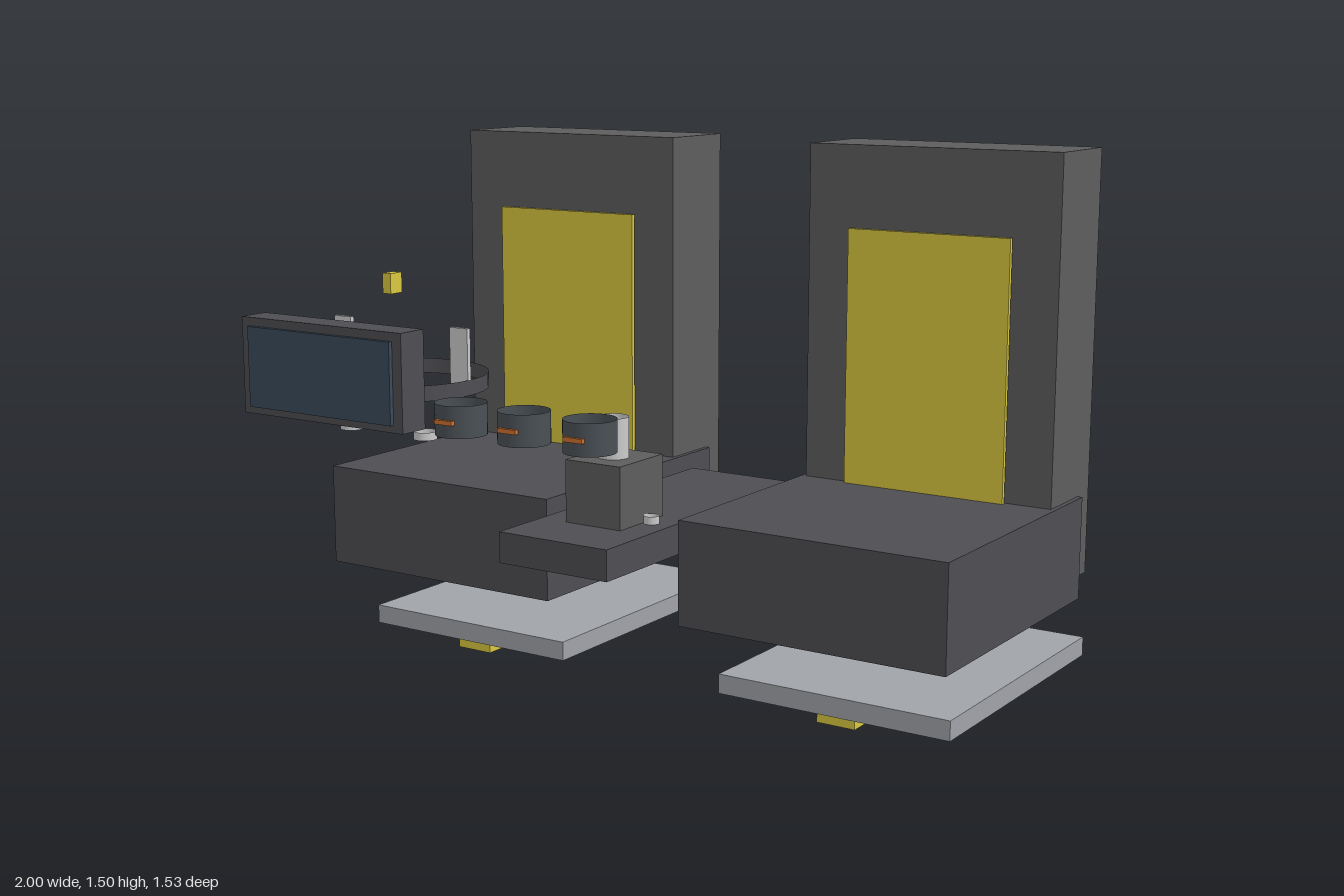
import * as THREE from 'three';

const mat = (color, side = THREE.FrontSide) => new THREE.MeshStandardMaterial({ color, side });

const DARK = 0x4e4d52, GREY = 0x5d5d5d, YELLOW = 0xd9c840, PLATE = 0xa0a3a8;
const STEEL = 0xc8c8c8, KNOB = 0x4a5056, GLASS = 0x3a4a5a, ORANGE = 0xd07030;

// Box given by its extents along each axis
function box(parent, name, color, [x0, x1], [y0, y1], [z0, z1]) {
  const mesh = new THREE.Mesh(new THREE.BoxGeometry(x1 - x0, y1 - y0, z1 - z0), mat(color));
  mesh.position.set((x0 + x1) / 2, (y0 + y1) / 2, (z0 + z1) / 2);
  mesh.name = name;
  parent.add(mesh);
}

// Open upright cylinder wall
function sleeve(parent, name, color, r, [y0, y1], x, z) {
  const geo = new THREE.CylinderGeometry(r, r, y1 - y0, 40, 1, true);
  const mesh = new THREE.Mesh(geo, mat(color, THREE.DoubleSide));
  mesh.position.set(x, (y0 + y1) / 2, z);
  mesh.name = name;
  parent.add(mesh);
}

function createSeat() {
  const seat = new THREE.Group();
  box(seat, 'seatCushion', DARK, [-0.392, 0.392], [0.25, 0.54], [-0.605, 0.235]);
  box(seat, 'seatBack', GREY, [-0.378, 0.378], [0.307, 1.495], [-0.68, -0.42]);
  box(seat, 'backPanel', YELLOW, [-0.244, 0.244], [0.54, 1.264], [-0.414, -0.401]);
  box(seat, 'floorPlate', PLATE, [-0.346, 0.346], [0.035, 0.09], [-0.767, 0.103]);
  box(seat, 'plateFoot', YELLOW, [-0.057, 0.057], [0, 0.035], [-0.014, 0.073]);
  return seat;
}

export function createModel() {
  const model = new THREE.Group();

  // Pair of seats
  for (const side of [-1, 1]) {
    const seat = createSeat();
    seat.name = side < 0 ? 'rightSeat' : 'leftSeat';
    seat.position.x = side * 0.608;
    model.add(seat);
  }

  // Centre console with gear lever
  const console_ = new THREE.Group();
  console_.name = 'centreConsole';
  box(console_, 'consoleBase', DARK, [-0.174, 0.171], [0.425, 0.51], [-0.443, 0.5]);
  box(console_, 'leverBlock', GREY, [-0.09, 0.087], [0.51, 0.682], [0.115, 0.317]);
  sleeve(console_, 'leverPost', STEEL, 0.042, [0.682, 0.793], -0.002, 0.219);
  sleeve(console_, 'consoleButton', STEEL, 0.021, [0.51, 0.532], 0.108, 0.2);
  model.add(console_);

  // Row of control knobs with lit markers
  for (const i of [-1, 0, 1]) {
    const knob = new THREE.Group();
    knob.name = 'controlKnob';
    const x = i * 0.203 - 0.002;
    sleeve(knob, 'knobWall', KNOB, 0.068, [0.788, 0.872], x, 0.611);
    box(knob, 'knobMarker', ORANGE, [x - 0.028, x + 0.028], [0.823, 0.835], [0.672, 0.686]);
    model.add(knob);
  }

  // Steering wheel, hub, paddles and thumb buttons
  const steering = new THREE.Group();
  steering.name = 'steering';
  const cx = -0.553;
  sleeve(steering, 'wheelRim', DARK, 0.236, [0.85, 0.892], cx, 0.434);
  box(steering, 'wheelHub', DARK, [cx - 0.101, cx + 0.101], [0.772, 0.972], [0.472, 0.543]);
  for (const s of [-1, 1]) {
    const px = cx + s * 0.205;
    box(steering, 'paddle', STEEL, [px - 0.03, px + 0.03], [0.85, 1.03], [0.428, 0.441]);
    sleeve(steering, 'thumbButton', STEEL, 0.032, [0.731, 0.753], cx + s * 0.13, 0.496);
  }
  box(steering, 'topMarker', YELLOW, [cx - 0.014, cx + 0.014], [1.112, 1.167], [0.442, 0.488]);
  model.add(steering);

  // Instrument display
  const display = new THREE.Group();
  display.name = 'display';
  box(display, 'displayHousing', DARK, [-0.828, -0.278], [0.802, 1.061], [0.667, 0.755]);
  box(display, 'displayScreen', GLASS, [-0.798, -0.308], [0.822, 1.038], [0.75, 0.767]);
  model.add(display);

  return model;
}
